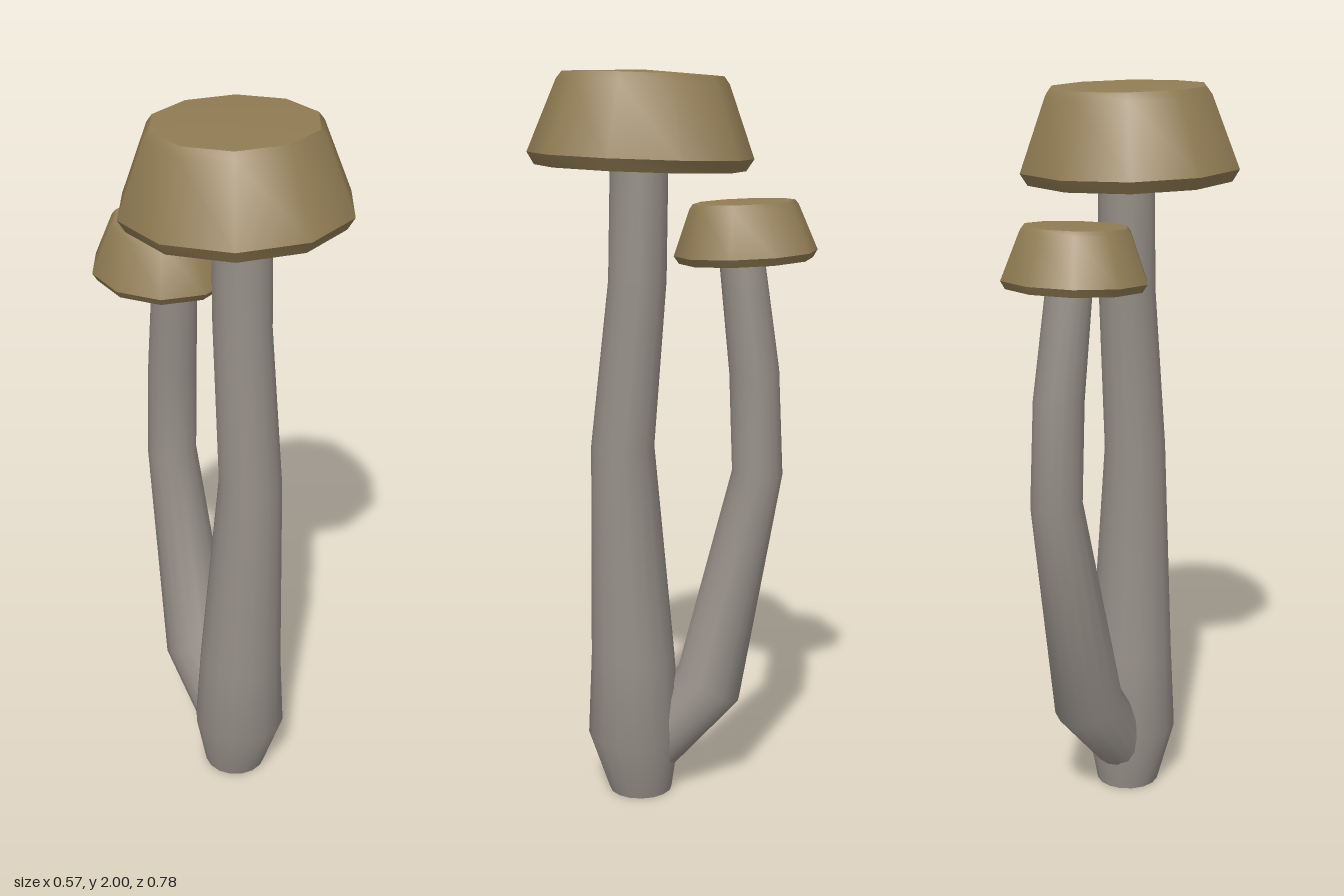
import * as THREE from 'three';
import { toCreasedNormals } from 'three/addons/utils/BufferGeometryUtils.js';

const SIDES = 16;

// Stem from round cross-sections: [x, y, z, radius, tilt towards the back]
function stemGeometry(rings) {
  const pos = [], idx = [];
  for (const [x, y, z, r, tilt] of rings) {
    for (let i = 0; i < SIDES; i++) {
      const a = (i / SIDES) * Math.PI * 2;
      const c = Math.cos(a) * r;
      pos.push(x + Math.sin(a) * r, y + c * Math.sin(tilt), z + c * Math.cos(tilt));
    }
  }
  for (let k = 0; k < rings.length - 1; k++) {
    for (let i = 0; i < SIDES; i++) {
      const j = (i + 1) % SIDES;
      const a = k * SIDES + i, b = k * SIDES + j;
      idx.push(a, b, b + SIDES, a, b + SIDES, a + SIDES);
    }
  }
  // close both ends
  const top = (rings.length - 1) * SIDES;
  for (let i = 1; i < SIDES - 1; i++) {
    idx.push(0, i + 1, i, top, top + i, top + i + 1);
  }
  const g = new THREE.BufferGeometry();
  g.setAttribute('position', new THREE.Float32BufferAttribute(pos, 3));
  g.setIndex(idx);
  return toCreasedNormals(g, 0.9);
}

// Ten-sided cap with a flat underside, small rim and nearly flat top
function capGeometry(scale) {
  const profile = [
    [0, 0], [0.28, 0], [0.3, 0.032], [0.227, 0.222], [0.212, 0.242], [0, 0.252],
  ].map(([r, y]) => new THREE.Vector2(r * scale, y * scale));
  return toCreasedNormals(new THREE.LatheGeometry(profile, 10), 0.65);
}

export function createModel() {
  const group = new THREE.Group();
  group.name = 'mushrooms';
  const capMat = new THREE.MeshStandardMaterial({ color: 0x917c54 });
  capMat.name = 'cap brown';
  const stemMat = new THREE.MeshStandardMaterial({ color: 0x948e86 });
  stemMat.name = 'stem grey';

  const add = (name, geometry, material) => {
    const mesh = new THREE.Mesh(geometry, material);
    mesh.name = name;
    group.add(mesh);
    return mesh;
  };

  // Tall mushroom
  add('tallStem', stemGeometry([
    [0.005, 0, 0.095, 0.088, 0],
    [0.007, 0.17, 0.112, 0.129, 0],
    [0.007, 0.4, 0.115, 0.116, 0],
    [0.015, 1.0, 0.14, 0.086, 0],
    [0.014, 1.45, 0.098, 0.078, 0],
    [0.013, 1.76, 0.092, 0.077, 0],
  ]), stemMat);
  const tallCap = add('tallCap', capGeometry(1), capMat);
  tallCap.position.set(0, 1.745, 0.088);
  tallCap.rotation.x = -0.035;

  // Short mushroom branching from the foot of the tall one
  add('shortStem', stemGeometry([
    [0.005, 0.107, 0.077, 0.08, 0.78],
    [0.005, 0.31, -0.098, 0.098, 0.5],
    [0.008, 0.92, -0.229, 0.07, 0.1],
    [0.006, 1.2, -0.218, 0.068, -0.06],
    [-0.005, 1.51, -0.182, 0.061, -0.1],
  ]), stemMat);
  const shortCap = add('shortCap', capGeometry(0.648), capMat);
  shortCap.position.set(-0.03, 1.497, -0.196);
  shortCap.rotation.x = 0.045;

  return group;
}
